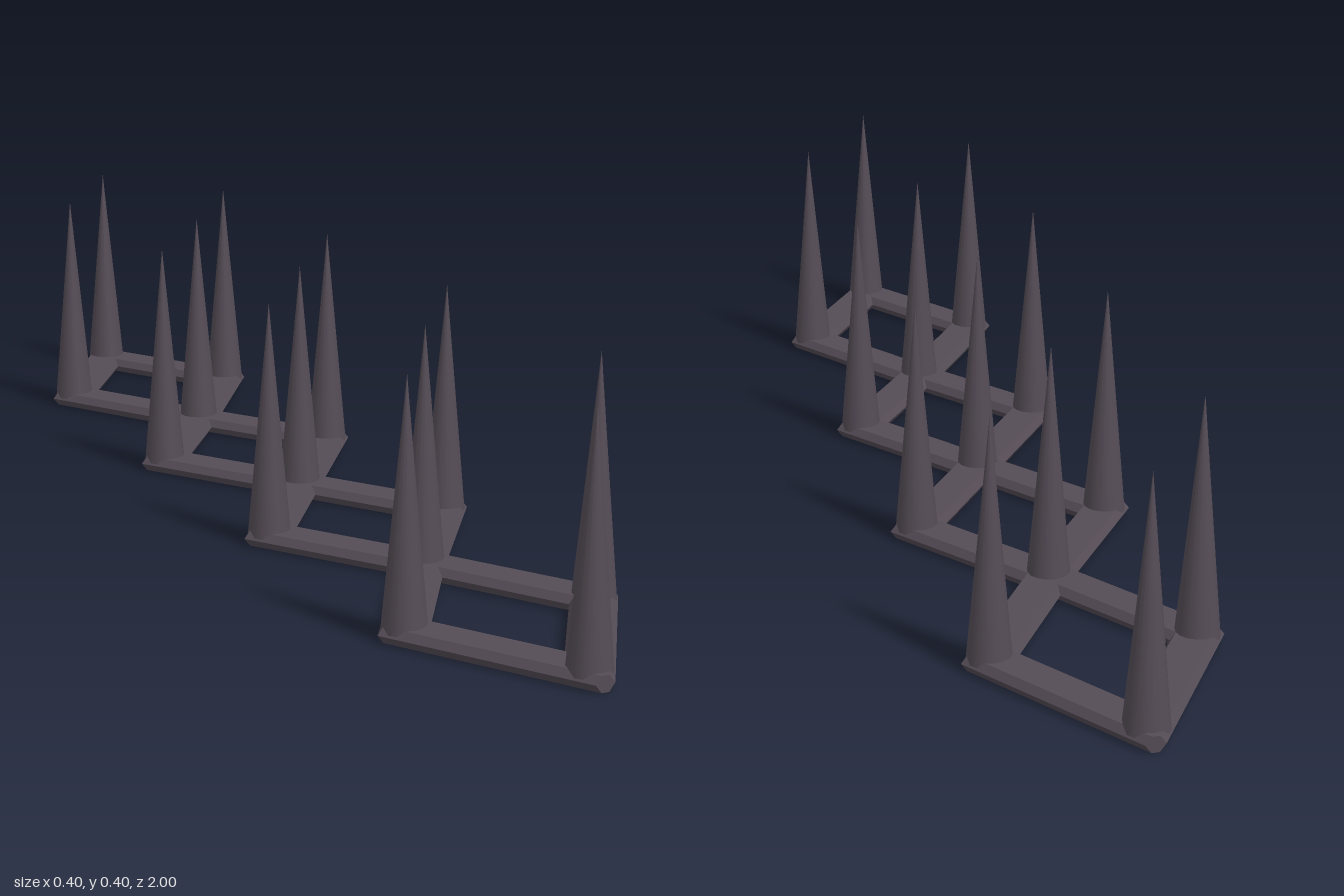
import * as THREE from 'three';

const material = new THREE.MeshStandardMaterial({ color: 0x554c56 });
const flatMaterial = new THREE.MeshStandardMaterial({ color: 0x554c56, flatShading: true });

const HALF_WIDTH = 0.158;                        // sideways reach of the joints
const JOINTS = [-0.957, -0.457, 0, 0.457, 0.957]; // joints on the centre line
// Hexagonal bar section: [outward offset, height]
const SECTION = [
  [-0.028, 0], [0.028, 0], [0.036, 0.0125],
  [0.028, 0.025], [-0.028, 0.025], [-0.036, 0.0125],
];

// Mitred diamond frame between two joints, trimmed flat at zMin and zMax
function diamondGeometry(z0, z1, zMin, zMax) {
  const mid = (z0 + z1) / 2, b = (z1 - z0) / 2, a = HALF_WIDTH;
  const len = Math.hypot(a, b);
  const rings = SECTION.map(([o, y]) => {
    const x = a + o * len / b;
    const reach = b + o * len / a;
    const front = Math.min(mid + reach, zMax), back = Math.max(mid - reach, zMin);
    const tf = (mid + reach - front) * a / b, tb = (back - mid + reach) * a / b;
    return [[tf, front], [x, mid], [tb, back], [-tb, back], [-x, mid], [-tf, front]]
      .map(([px, pz]) => [px, y, pz]);
  });
  const pos = [];
  for (let j = 0; j < 6; j++) {
    const lower = rings[j], upper = rings[(j + 1) % 6];
    for (let i = 0; i < 6; i++) {
      const n = (i + 1) % 6;
      pos.push(...lower[i], ...lower[n], ...upper[n], ...lower[i], ...upper[n], ...upper[i]);
    }
  }
  const geometry = new THREE.BufferGeometry();
  geometry.setAttribute('position', new THREE.Float32BufferAttribute(pos, 3));
  geometry.computeVertexNormals();
  return geometry;
}

export function createModel() {
  const model = new THREE.Group();
  model.name = 'spikeStrip';

  // Lattice of four linked diamonds
  const lattice = new THREE.Group();
  lattice.name = 'lattice';
  model.add(lattice);
  for (let i = 0; i < 4; i++) {
    const z0 = JOINTS[i], z1 = JOINTS[i + 1];
    const frame = new THREE.Mesh(
      diamondGeometry(z0, z1, i === 0 ? -1 : z0, i === 3 ? 1 : z1), flatMaterial);
    frame.name = 'diamondFrame';
    lattice.add(frame);
  }

  // One spike on every joint
  const spikes = new THREE.Group();
  spikes.name = 'spikes';
  model.add(spikes);
  const base = 0.012, top = 0.396;
  const cone = new THREE.ConeGeometry(0.035, top - base, 16);
  cone.translate(0, (top + base) / 2, 0);
  const addSpike = (x, z) => {
    const spike = new THREE.Mesh(cone, material);
    spike.name = 'spike';
    spike.position.set(x, 0, z);
    spikes.add(spike);
  };
  JOINTS.forEach((z, i) => {
    addSpike(0, z);
    if (i < 4) for (const s of [-1, 1]) addSpike(s * HALF_WIDTH, (z + JOINTS[i + 1]) / 2);
  });

  return model;
}
